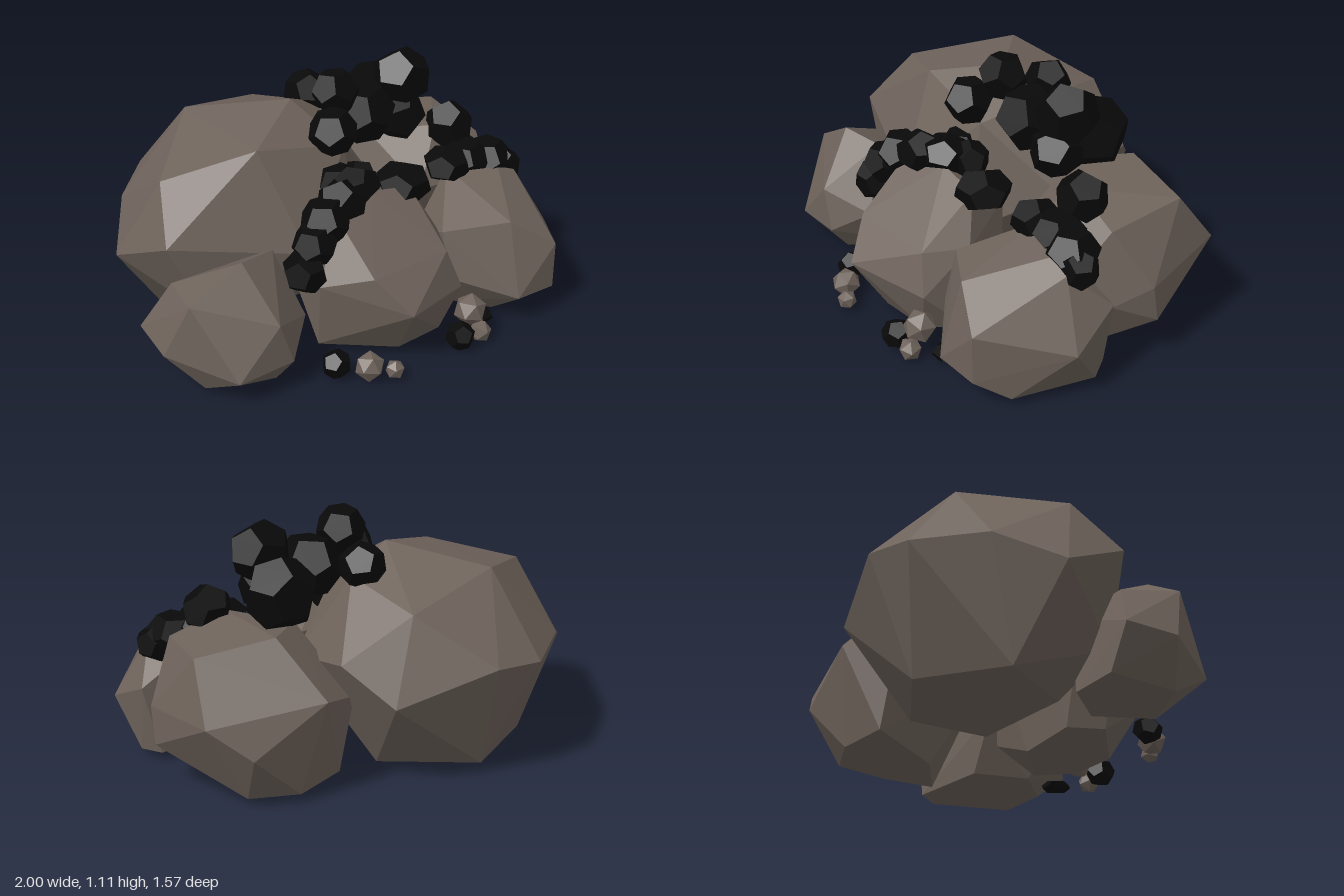
import * as THREE from 'three';
import { ConvexGeometry } from 'three/addons/geometries/ConvexGeometry.js';

const rock = new THREE.MeshStandardMaterial({ color: 0x6e635b });
rock.name = 'brown grey rock';
const coal = new THREE.MeshStandardMaterial({ color: 0x090909 });
coal.name = 'black coal';

// Faceted boulder: convex hull of a few corner points
function boulder(name, corners) {
  const points = corners.map((c) => new THREE.Vector3(...c));
  const mesh = new THREE.Mesh(new ConvexGeometry(points), rock);
  mesh.name = name;
  return mesh;
}

// Angular lump, turned differently for each index
function lump(name, material, [x, y, z, r, sx = 1, sy = 1, sz = 1], i) {
  const geometry = material === coal
    ? new THREE.DodecahedronGeometry(r) : new THREE.IcosahedronGeometry(r);
  geometry.rotateX(i * 1.3 + 0.4).rotateY(i * 2.1).scale(sx, sy, sz);
  const mesh = new THREE.Mesh(geometry, material);
  mesh.position.set(x, y, z);
  mesh.name = name;
  return mesh;
}

export function createModel() {
  const model = new THREE.Group();
  model.name = 'coalRockPile';

  // Five large boulders: top corners, then middle, then foot
  model.add(
    boulder('largeBackBoulder', [
      [-0.09, 0.97, -0.13], [-0.42, 0.9, -0.47], [-0.4, 0.88, 0.05], [0.12, 0.87, -0.22],
      [-0.77, 0.78, -0.13], [0.02, 0.8, -0.58], [0.03, 0.8, 0.1],
      [-0.87, 0.57, 0.06], [-0.93, 0.42, -0.26], [-0.75, 0.55, -0.5], [-0.51, 0.55, -0.74],
      [-0.27, 0.58, -0.79], [0.15, 0.44, -0.68], [0.31, 0.6, -0.5], [0.33, 0.5, -0.1],
      [-0.3, 0.45, 0.28], [-0.7, 0.2, 0.1], [0.05, 0.3, 0.22],
      [-0.67, 0.04, -0.35], [-0.32, 0.05, -0.6], [0.08, 0.05, -0.38],
      [-0.5, 0.02, -0.02], [0, 0.02, -0.05]]),
    boulder('leftBackBoulder', [
      [0.53, 0.71, -0.34], [0.6, 0.71, 0.05], [0.36, 0.68, -0.15], [0.87, 0.66, -0.28],
      [0.84, 0.62, 0.08], [0.4, 0.48, -0.56], [0.9, 0.42, -0.46], [0.98, 0.37, -0.04],
      [0.98, 0.2, -0.07], [0.73, 0.28, -0.55], [0.2, 0.4, -0.4], [0.9, 0.3, 0.12],
      [0.4, 0.5, 0.2], [0.8, 0.48, 0.2],
      [0.49, 0.04, -0.48], [0.28, 0.07, -0.42], [0.77, 0.04, -0.12], [0.43, 0.02, -0.08],
      [0.7, 0.03, -0.4], [0.75, 0.04, 0.12]]),
    boulder('leftFrontBoulder', [
      [0.53, 0.58, 0.22], [0.75, 0.56, 0.33], [0.85, 0.52, 0.33], [0.55, 0.47, 0.63],
      [0.3, 0.43, 0.46], [0.95, 0.36, 0.16], [0.74, 0.34, 0.73], [1, 0.24, 0.4],
      [0.3, 0.22, 0.52], [0.53, 0.13, 0.73], [0.74, 0.12, 0.73], [0.36, 0.3, 0.2],
      [0.83, 0.03, 0.6], [0.94, 0.03, 0.24], [0.88, 0.04, 0.14], [0.52, 0.01, 0.57],
      [0.38, 0.03, 0.42], [0.5, 0.05, 0.2]]),
    boulder('centreFrontBoulder', [
      [-0.2, 0.63, 0.34], [0.02, 0.66, 0.3], [0.23, 0.62, 0.31], [-0.19, 0.43, 0.59],
      [0.22, 0.42, 0.58], [-0.34, 0.36, 0.41], [0.32, 0.42, 0.4], [-0.09, 0.28, 0.73],
      [0.28, 0.24, 0.62], [-0.32, 0.3, 0.2], [0.2, 0.5, 0.12], [-0.2, 0.5, 0.15],
      [-0.04, 0.03, 0.58], [-0.31, 0.04, 0.36], [0.33, 0.03, 0.42], [0.2, 0.03, 0.57],
      [0.3, 0.12, 0.2], [-0.22, 0.05, 0.22], [0.05, 0.02, 0.2]]),
    boulder('rightFrontBoulder', [
      [-0.68, 0.57, 0.33], [-0.49, 0.54, 0.28], [-0.92, 0.43, 0.3], [-0.62, 0.33, 0.51],
      [-0.85, 0.4, 0.05], [-0.5, 0.4, 0.05], [-1, 0.18, 0.21], [-0.97, 0.2, -0.02],
      [-0.41, 0.25, 0.4], [-0.82, 0.12, 0.5], [-0.56, 0.14, 0.52],
      [-0.86, 0.01, 0.3], [-0.86, 0.02, -0.02], [-0.58, 0.01, 0.42], [-0.4, 0.04, 0.22],
      [-0.6, 0.03, 0]]));

  // Coal heap on top
  [
    [0.06, 1.01, 0, 0.11], [0.45, 0.97, -0.02, 0.14], [0.08, 0.92, -0.24, 0.105],
    [0.43, 0.83, -0.18, 0.165], [0.22, 0.87, -0.01, 0.15], [-0.04, 0.89, 0.11, 0.11],
    [0.66, 0.71, 0.08, 0.115], [0.42, 0.8, 0.01, 0.12],
  ].forEach((p, i) => model.add(lump('coalLump', coal, p, i)));

  // Coal seams wedged between the boulders
  const seams = {
    centreSeam: [
      [-0.39, 0.44, 0.37, 0.1], [-0.33, 0.55, 0.36, 0.1], [-0.25, 0.62, 0.33, 0.11],
      [-0.14, 0.66, 0.3, 0.11, 1.1, 0.9, 1], [-0.03, 0.68, 0.25, 0.11, 1.1, 0.8, 1],
      [0.05, 0.66, 0.18, 0.09], [-0.06, 0.66, 0.13, 0.1]],
    middleSeam: [[0.24, 0.62, 0.26, 0.13, 1, 0.7, 1]],
    leftSeam: [
      [0.53, 0.6, 0.22, 0.11, 1, 0.8, 1], [0.66, 0.59, 0.2, 0.12, 1, 0.8, 1],
      [0.77, 0.56, 0.23, 0.12, 1, 0.9, 1], [0.84, 0.52, 0.26, 0.09]],
  };
  for (const [name, lumps] of Object.entries(seams)) {
    const seam = new THREE.Group();
    seam.name = name;
    lumps.forEach((p, i) => seam.add(lump('seamLump', coal, p, i + 3)));
    model.add(seam);
  }

  // Small pieces on the ground in front
  [[-0.36, 0.06, 0.55, 0.066], [0.2, 0.06, 0.71, 0.067], [0.41, 0.03, 0.6, 0.07, 1, 0.4, 1]]
    .forEach((p, i) => model.add(lump('coalChip', coal, p, i + 1)));
  [[-0.26, 0.06, 0.65, 0.067], [-0.17, 0.04, 0.71, 0.044], [0.3, 0.13, 0.66, 0.075],
    [0.31, 0.045, 0.72, 0.052]]
    .forEach((p, i) => model.add(lump('pebble', rock, p, i + 2)));

  return model;
}
